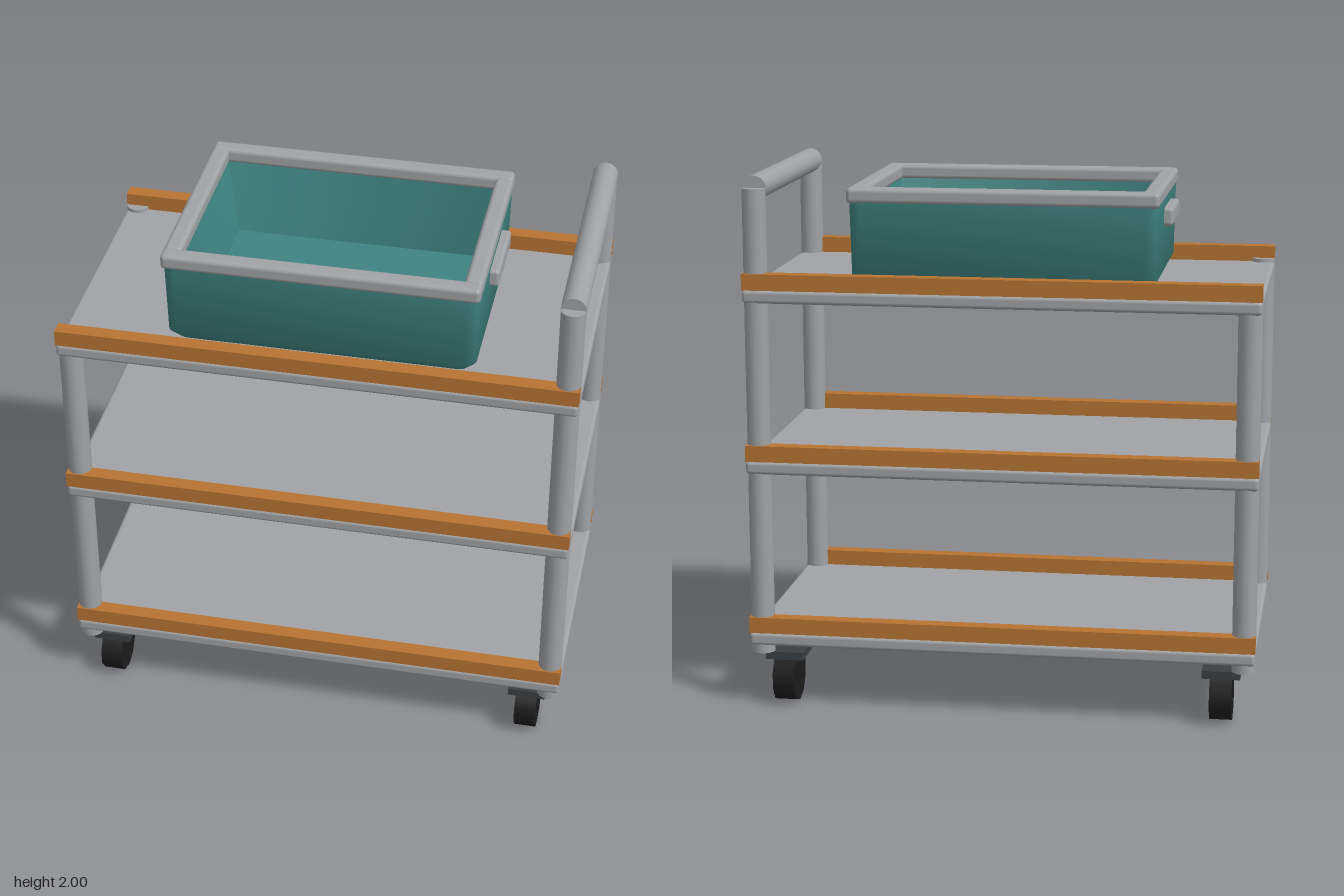
import * as THREE from 'three';
import { toCreasedNormals } from 'three/addons/utils/BufferGeometryUtils.js';
import { RoundedBoxGeometry } from 'three/addons/geometries/RoundedBoxGeometry.js';

const material = (name, color) => {
  const m = new THREE.MeshStandardMaterial({ color });
  m.name = name;
  return m;
};

// Rectangle with rounded corners as a loop of points at height y
function loopAt([y, hx, hz, r], steps = 4) {
  const points = [];
  [[1, 1], [-1, 1], [-1, -1], [1, -1]].forEach(([sx, sz], corner) => {
    for (let i = 0; i <= steps; i++) {
      const a = (corner + i / steps) * Math.PI / 2;
      points.push([sx * (hx - r) + r * Math.cos(a), y, sz * (hz - r) + r * Math.sin(a)]);
    }
  });
  return points;
}

// Skin through stacked loops, closed at both ends
function skin(sections) {
  const loops = sections.map((s) => loopAt(s));
  const n = loops[0].length;
  const position = loops.flat(2);
  const index = [];
  for (let j = 0; j < loops.length - 1; j++) {
    for (let i = 0; i < n; i++) {
      const a = j * n + i, b = j * n + (i + 1) % n;
      index.push(a, a + n, b, b, a + n, b + n);
    }
  }
  const last = (loops.length - 1) * n;
  for (let i = 1; i < n - 1; i++) {
    index.push(0, i, i + 1);
    index.push(last, last + i + 1, last + i);
  }
  const g = new THREE.BufferGeometry();
  g.setAttribute('position', new THREE.Float32BufferAttribute(position, 3));
  g.setIndex(index);
  return toCreasedNormals(g, 0.9);
}

export function createModel() {
  const model = new THREE.Group();
  model.name = 'trolley';
  const metal = material('brushed metal', 0xa0a3a6);
  const wood = material('warm wood', 0xb87333);
  const teal = material('teal plastic', 0x3f8582);
  const bracket = material('dark grey', 0x3b3f44);
  const rubber = material('black rubber', 0x1c1c1c);

  const add = (parent, name, geometry, mat, x, y, z) => {
    const mesh = new THREE.Mesh(geometry, mat);
    mesh.name = name;
    mesh.position.set(x, y, z);
    parent.add(mesh);
    return mesh;
  };
  const box = (w, h, d) => new THREE.BoxGeometry(w, h, d);
  const rounded = (w, h, d, r) => new RoundedBoxGeometry(w, h, d, 3, r);
  const tube = (r, length, sides = 16) => new THREE.CylinderGeometry(r, r, length, sides);
  const signs = [-1, 1];

  const frame = new THREE.Group();
  frame.name = 'frame';
  frame.position.x = -0.003;
  model.add(frame);

  // Posts: the pair at the handle end is taller
  for (const sx of signs) {
    for (const sz of signs) {
      const top = sx > 0 ? 1.955 : 1.6;
      add(frame, 'post', tube(0.044, top - 0.207), metal,
        sx * 0.902, (top + 0.207) / 2, sz * 0.464);
    }
  }
  add(frame, 'pushHandle', tube(0.046, 0.928).rotateX(Math.PI / 2), metal, 0.902, 1.954, 0);

  // Shelves: round-edged slab with wooden side strips
  for (const y of [0.263, 0.922, 1.562]) {
    const shelf = new THREE.Group();
    shelf.name = 'shelf';
    shelf.position.y = y;
    frame.add(shelf);
    add(shelf, 'shelfSlab', rounded(1.89, 0.049, 1.024, 0.014), metal, 0, 0, 0);
    for (const s of signs) {
      add(shelf, 'woodStrip', box(1.89, 0.06, 0.055), wood, 0, 0.054, s * 0.4845);
    }
  }

  // Casters
  for (const sx of signs) {
    for (const sz of signs) {
      const caster = new THREE.Group();
      caster.name = 'caster';
      caster.position.set(sx * 0.82, 0, sz * 0.41);
      frame.add(caster);
      add(caster, 'casterPlate', box(0.142, 0.03, 0.142), bracket, 0, 0.192, 0);
      const wheel = tube(0.1, 0.082, 10).rotateZ(Math.PI / 2).rotateX(Math.PI / 2);
      add(caster, 'wheel', wheel, rubber, 0, 0.1, 0);
    }
  }

  // Open bin: outer wall up, over the lip, inner wall down to the floor
  const bin = new THREE.Group();
  bin.name = 'bin';
  model.add(bin);
  add(bin, 'binBody', skin([
    [1.586, 0.525, 0.368, 0.03],
    [1.628, 0.56, 0.404, 0.04],
    [1.91, 0.566, 0.41, 0.04],
    [1.91, 0.515, 0.358, 0.003],
    [1.63, 0.467, 0.312, 0.003],
  ]), teal, 0, 0, 0);
  for (const s of signs) {
    add(bin, 'longRim', rounded(1.142, 0.058, 0.066, 0.017), metal, 0, 1.926, s * 0.384);
    add(bin, 'endRim', rounded(0.066, 0.058, 0.72, 0.017), metal, s * 0.538, 1.926, 0);
    add(bin, 'binHandle', rounded(0.05, 0.068, 0.29, 0.014), metal, s * 0.574, 1.834, 0);
  }
  return model;
}
